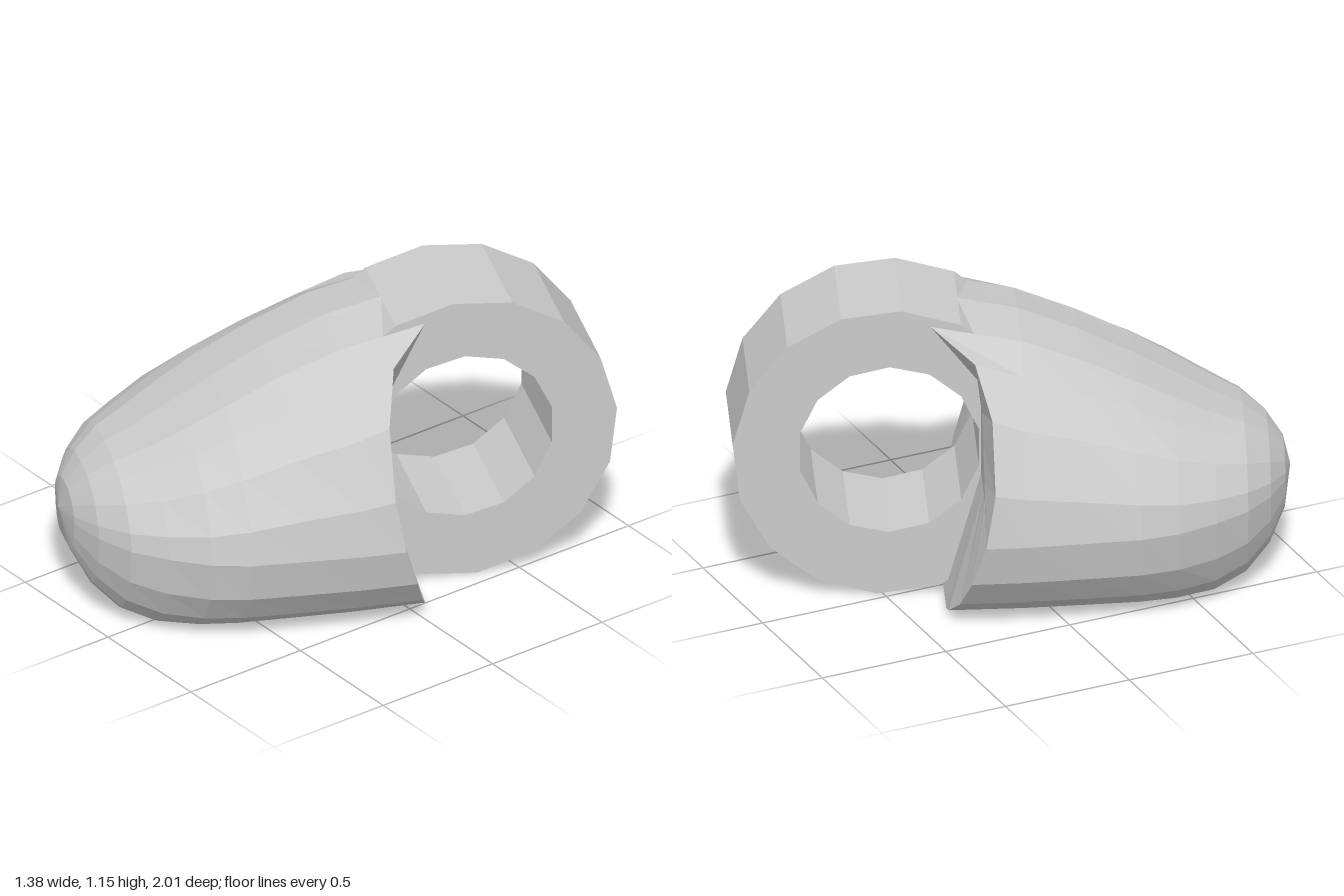
import * as THREE from 'three';

const material = () => new THREE.MeshStandardMaterial({ color: 0xcccccc, flatShading: true });

const circlePoints = (radius, sides, startDeg, cy) =>
  Array.from({ length: sides }, (_, i) => {
    const a = THREE.MathUtils.degToRad(startDeg) + (i / sides) * Math.PI * 2;
    return new THREE.Vector2(radius * Math.cos(a), cy + radius * Math.sin(a));
  });

// Skins a list of equal closed loops of [x, y, z] points
function loft(rows) {
  const n = rows[0].length, index = [];
  for (let j = 0; j < rows.length - 1; j++) {
    for (let i = 0; i < n; i++) {
      const a = j * n + i, b = j * n + (i + 1) % n;
      index.push(a, b, b + n, a, b + n, a + n);
    }
  }
  const geo = new THREE.BufferGeometry();
  geo.setAttribute('position', new THREE.Float32BufferAttribute(rows.flat(2), 3));
  geo.setIndex(index);
  const flat = geo.toNonIndexed();
  flat.computeVertexNormals();
  return flat;
}

// Half of the rear rim from bottom to top: x, y, z
const halfRim = [
  [0, 0, 0.2], [0.35, 0, 0.2], [0.43, 0.03, 0.205], [0.525, 0.1, 0.24], [0.61, 0.22, 0.28],
  [0.645, 0.38, 0.33], [0.62, 0.58, 0.365], [0.51, 0.83, 0.36], [0.36, 0.99, 0.305],
  [0.22, 1.08, 0.15], [0, 1.11, 0.15],
];
const rim = [...halfRim, ...halfRim.slice(1, -1).reverse().map(([x, y, z]) => [-x, y, z])];

// Body stations towards the nose: z, half width, top, bottom
const stations = [
  [0.48, 0.64, 1.04, 0], [0.7, 0.62, 0.95, 0], [0.9, 0.6, 0.85, 0], [1.04, 0.56, 0.77, 0],
  [1.18, 0.48, 0.69, 0.005], [1.3, 0.39, 0.63, 0.05], [1.39, 0.27, 0.56, 0.13],
  [1.45, 0.14, 0.48, 0.24], [1.475, 0, 0.38, 0.38],
];

function bodyGeometry() {
  const mid = 0.38;
  const section = ([z, w, top, bottom]) => rim.map(([x, y]) => [
    (x / 0.645) * w,
    y > mid ? mid + ((y - mid) / (1.11 - mid)) * (top - mid) : mid - ((mid - y) / mid) * (mid - bottom),
    z,
  ]);
  // Rear dish: flat middle, with a sloping lower ledge out to the rim
  const dish = rim.map(([x, y]) => [x * 0.7, Math.max(0.48, 0.25 + 0.5 * y), 0.335]);
  const centre = rim.map(() => [0, 0.6, 0.335]);
  return loft([centre, dish, rim, ...stations.map(section)]);
}

function ringGeometry() {
  const shape = new THREE.Shape(circlePoints(0.574, 16, 72, 0.574));
  shape.holes.push(new THREE.Path(circlePoints(0.335, 14, 90, 0.585)));
  const geo = new THREE.ExtrudeGeometry(shape, { depth: 0.44, bevelEnabled: false });
  return geo.translate(0, 0, -0.22).rotateY(Math.PI / 2);
}

export function createModel() {
  const group = new THREE.Group();
  const turned = new THREE.Group();
  turned.name = 'ringedPod';
  turned.position.set(0.22, 0, -0.395);
  turned.rotation.y = -Math.PI / 8;

  const body = new THREE.Mesh(bodyGeometry(), material());
  body.name = 'roundedBody';
  const ring = new THREE.Mesh(ringGeometry(), material());
  ring.name = 'rearRing';

  turned.add(body, ring);
  group.add(turned);
  return group;
}
